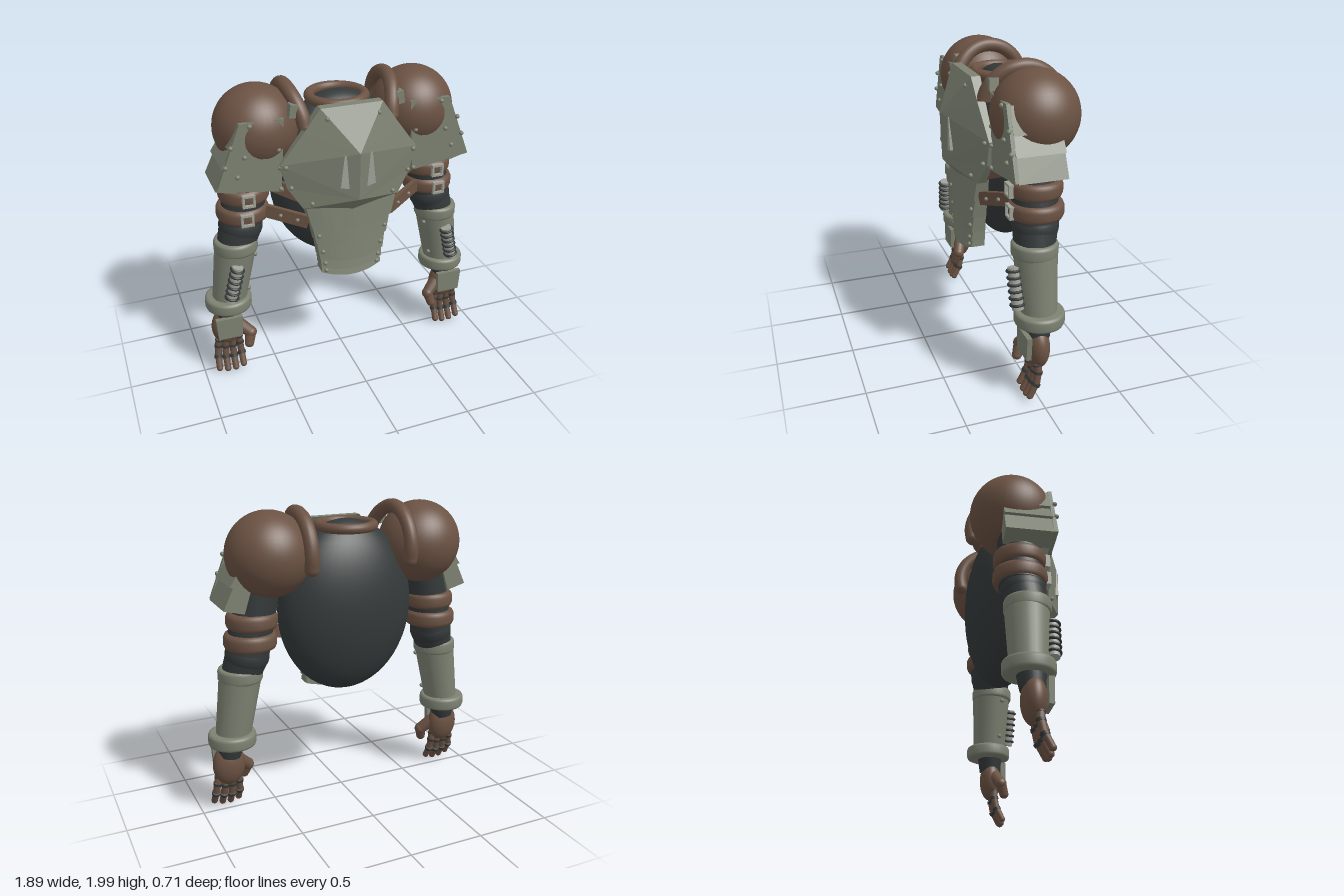
import * as THREE from 'three';

const mat = (color, extra = {}) => new THREE.MeshStandardMaterial({ color, ...extra });
const brown = mat(0x6b5243), metal = mat(0x7d8272), dark = mat(0x343939), steel = mat(0xa0a298);
const plate = mat(0x7d8272, { flatShading: true, side: THREE.DoubleSide });
const V = (p) => new THREE.Vector3(...p);

function add(parent, name, geo, material, pos = [0, 0, 0], rot = [0, 0, 0]) {
  const m = new THREE.Mesh(geo, material);
  m.name = name;
  m.position.set(...pos);
  m.rotation.set(...rot);
  parent.add(m);
  return m;
}

function ellipsoid(parent, name, material, pos, radii) {
  const m = add(parent, name, new THREE.SphereGeometry(1, 40, 28), material, pos);
  m.scale.set(...radii);
  return m;
}

// Tapered cylinder from point a to point b
function rod(parent, name, material, a, b, ra, rb = ra, sides = 28) {
  const d = V(b).sub(V(a));
  const m = add(parent, name, new THREE.CylinderGeometry(rb, ra, d.length(), sides), material);
  m.position.copy(V(a)).addScaledVector(d, 0.5);
  m.quaternion.setFromUnitVectors(new THREE.Vector3(0, 1, 0), d.normalize());
  return m;
}

// Ring with a rounded-rectangle section, filled inside
function cuff(parent, name, material, pos, r, h, e = 0.02) {
  const pts = [[0, -h / 2], [r - e, -h / 2], [r - e * 0.3, -h / 2 + e * 0.3], [r, -h / 2 + e],
    [r, h / 2 - e], [r - e * 0.3, h / 2 - e * 0.3], [r - e, h / 2], [0, h / 2]];
  return add(parent, name, new THREE.LatheGeometry(pts.map((p) => new THREE.Vector2(...p)), 40), material, pos);
}

function slab(parent, name, pts, z, depth, material = plate, hole) {
  const s = new THREE.Shape(pts.map((p) => new THREE.Vector2(...p)));
  if (hole) s.holes.push(new THREE.Path(hole.map((p) => new THREE.Vector2(...p))));
  return add(parent, name, new THREE.ExtrudeGeometry(s, { depth, bevelEnabled: false }), material, [0, 0, z]);
}

function rivets(parent, list, r = 0.015) {
  for (const p of list) add(parent, 'rivet', new THREE.SphereGeometry(r, 10, 8), metal, p);
}

const square = (x, y, r) => [[x - r, y - r], [x + r, y - r], [x + r, y + r], [x - r, y + r]];

// Faceted breastplate: half outline fanned to a central ridge, with a rim going back
function chestGeometry() {
  const edge = [[0.2, 1.88, 0.2], [0.3, 1.74, 0.19], [0.45, 1.54, 0.17], [0.41, 1.38, 0.17],
    [0.32, 1.24, 0.2], [0, 1.2, 0.235]];
  const top = [0, 1.62, 0.345], low = [0, 1.31, 0.335];
  const back = (p) => [p[0], p[1], 0.14];
  const half = [[top, edge[0], [0, 1.88, 0.2]], [top, low, edge[2]]];
  edge.slice(0, -1).forEach((p, i) => {
    const q = edge[i + 1];
    half.push([i < 2 ? top : low, q, p], [p, q, back(q)], [p, back(q), back(p)]);
  });
  half.push([edge[0], back(edge[0]), [0, 1.88, 0.14]], [edge[0], [0, 1.88, 0.14], [0, 1.88, 0.2]]);
  const out = [];
  for (const [a, b, c] of half) {
    out.push(...a, ...b, ...c);
    for (const p of [a, c, b]) out.push(-p[0], p[1], p[2]);
  }
  const g = new THREE.BufferGeometry();
  g.setAttribute('position', new THREE.Float32BufferAttribute(out, 3));
  g.computeVertexNormals();
  return g;
}

// Curved, tapering belly band
function bandGeometry(yTop, yBot, wTop, wBot, lip) {
  const g = new THREE.BoxGeometry(2, 1, 1, 12, 1, 1), p = g.attributes.position;
  for (let i = 0; i < p.count; i++) {
    const u = p.getX(i), up = p.getY(i) > 0, curve = 1 - u * u;
    p.setXYZ(i, u * (up ? wTop : wBot), (up ? yTop : yBot) - 0.035 * curve,
      p.getZ(i) > 0 ? 0.2 + 0.035 * curve + (up ? 0 : lip) : 0.12);
  }
  g.computeVertexNormals();
  return g;
}

function buildTorso(g) {
  ellipsoid(g, 'torso', dark, [0, 1.33, -0.06], [0.46, 0.565, 0.25]);
  add(g, 'neckRing', new THREE.TorusGeometry(0.175, 0.032, 16, 48), brown, [0, 1.855, -0.067], [Math.PI / 2, 0, 0]);
  add(g, 'chestPlate', chestGeometry(), plate);
  const ys = [1.27, 1.105, 0.98, 0.865, 0.8, 0.755], ws = [0.31, 0.265, 0.235, 0.213, 0.204, 0.2];
  for (let i = 0; i < 5; i++) {
    add(g, 'bellyBand', bandGeometry(ys[i], ys[i + 1], ws[i], ws[i + 1] + 0.006, 0.012), plate);
    const y = (ys[i] + ys[i + 1]) / 2 - 0.01, w = (ws[i] + ws[i + 1]) / 2 - 0.025;
    if (i) rivets(g, [[w, y, 0.215], [-w, y, 0.215]]);
  }
}

function buildShoulder(s) {
  ellipsoid(s, 'shoulderPad', brown, [0.525, 1.715, -0.085], [0.267, 0.267, 0.267]);
  // Strap arching over the shoulder from front to back
  const path = [];
  for (let i = 0; i <= 12; i++) {
    const a = THREE.MathUtils.degToRad(10 + i * 15.5), c = Math.cos(a);
    path.push(new THREE.Vector3(0.335 - 0.055 * Math.max(0, c) ** 2, 1.715 + 0.24 * Math.sin(a), -0.085 + 0.235 * c));
  }
  rod(s, 'strapEnd', brown, [0.281, 1.75, 0.146], [0.279, 1.765, 0.146], 0.044);
  add(s, 'shoulderStrap', new THREE.TubeGeometry(new THREE.CatmullRomCurve3(path), 40, 0.045, 16), brown);
  add(s, 'strapBackEnd', new THREE.SphereGeometry(0.045, 16, 12), brown, path[12].toArray());
  add(s, 'strapBracket', new THREE.BoxGeometry(0.05, 0.08, 0.06), metal, [0.345, 1.86, 0.11], [0, 0, 0.15]);

  // Shoulder guard: front panel and stepped side slats
  slab(s, 'guardFront', [[0.41, 1.83], [0.44, 1.36], [0.84, 1.42], [0.68, 1.83]], 0.125, 0.025);
  const cuts = [[0.68, 1.82], [0.73, 1.66], [0.78, 1.55], [0.825, 1.41]];
  for (let i = 0; i < 3; i++) {
    const [x, y] = cuts[i], [X, Y] = cuts[i + 1];
    slab(s, 'guardSlat', [[x - 0.11, y - 0.03], [X - 0.11, Y - 0.03], [X + 0.02, Y + 0.004], [x, y]], -0.17, 0.3);
  }
  rivets(s, [[0.62, 1.81], [0.74, 1.69], [0.66, 1.62], [0.78, 1.57], [0.71, 1.5], [0.45, 1.64], [0.445, 1.52],
    [0.445, 1.38]].map(([x, y]) => [x, y, 0.155]));

  // Chest details on this side
  slab(s, 'chestVent', [[0.045, 1.6], [0.04, 1.38], [0.115, 1.4], [0.09, 1.61]], 0.27, 0.045, steel);
  rivets(s, [[0.165, 1.82, 0.225], [0.42, 1.53, 0.19], [0.39, 1.39, 0.19], [0.27, 1.28, 0.23]]);
  for (const [x, y] of [[0.385, 1.335], [0.4, 1.16]]) {
    const belt = add(s, 'sideBelt', new THREE.BoxGeometry(0.28, 0.085, 0.03), brown, [x, y, 0.11]);
    belt.rotation.set(0, 0.45, y > 1.2 ? 0.38 : 0.25, 'YZX');
    rivets(belt, [[-0.07, 0, 0.018], [0.04, 0, 0.018]], 0.013);
  }
}

function buildArm(s) {
  rod(s, 'upperArm', dark, [0.56, 1.65, -0.05], [0.67, 1.1, -0.045], 0.135, 0.14);
  ellipsoid(s, 'elbow', dark, [0.67, 1.08, -0.04], [0.142, 0.13, 0.142]);
  rod(s, 'elbowSleeve', dark, [0.67, 1.08, -0.04], [0.71, 0.96, -0.025], 0.138, 0.125);
  for (const [x, y, r] of [[0.635, 1.31, 0.163], [0.65, 1.18, 0.168]]) {
    cuff(s, 'armBand', brown, [x, y, -0.052], r, 0.105, 0.03);
    const bx = x + 0.008;
    slab(s, 'buckle', square(bx, y, 0.041), 0.1, 0.03, steel, square(bx, y, 0.027));
  }

  // Forearm armour
  cuff(s, 'upperCuff', metal, [0.715, 0.955, -0.022], 0.143, 0.09);
  rod(s, 'forearm', metal, [0.785, 0.53, -0.03], [0.715, 0.955, -0.025], 0.112, 0.136);
  cuff(s, 'lowerCuff', metal, [0.79, 0.53, -0.032], 0.155, 0.088);
  rivets(s, [[0.605, 0.885, 0.04], [0.66, 0.63, 0.03]]);

  // Sprung piston on the forearm
  const a = [0.8, 0.605, 0.11], b = [0.74, 0.86, 0.12];
  const piston = rod(s, 'piston', steel, a, b, 0.036, 0.036, 20);
  for (let i = 0; i < 6; i++) {
    add(piston, 'pistonRing', new THREE.TorusGeometry(0.04, 0.009, 8, 24), dark, [0, -0.1 + i * 0.042, 0], [Math.PI / 2, 0, 0]);
  }
}

function buildHand(s) {
  rod(s, 'wrist', dark, [0.81, 0.4, -0.015], [0.795, 0.52, -0.02], 0.075, 0.09);
  ellipsoid(s, 'palm', brown, [0.815, 0.335, -0.012], [0.108, 0.142, 0.074]);
  slab(s, 'handPlate', [[0.735, 0.295], [0.895, 0.295], [0.905, 0.45], [0.725, 0.45]], 0.055, 0.032, metal);

  const digit = (name, pts, r) => {
    for (let i = 0; i < pts.length - 1; i++) {
      rod(s, name, brown, pts[i], pts[i + 1], r * (1 - i * 0.06), r * (0.94 - i * 0.06), 16);
      const joint = rod(s, name + 'Joint', dark, pts[i], V(pts[i]).lerp(V(pts[i + 1]), 0.22).toArray(), r * 1.1, r * 1.1, 16);
      joint.visible = name === 'finger' || i === 0;
    }
    add(s, name + 'Tip', new THREE.SphereGeometry(r * 0.84, 16, 12), brown, pts[pts.length - 1]);
  };
  for (let i = 0; i < 4; i++) {
    const x = 0.75 + i * 0.044, out = (i - 1) * 0.012, drop = [0.015, 0, 0.003, 0.02][i];
    digit('finger', [[x, 0.25, 0.01], [x + out * 0.4, 0.185 + drop, 0.008], [x + out * 0.8, 0.11 + drop, 0.022],
      [x + out, 0.028 + drop, 0.065]], 0.026);
  }
  // Thumb
  rod(s, 'thumbBase', brown, [0.745, 0.35, 0.01], [0.67, 0.28, 0.045], 0.045, 0.04, 16);
  ellipsoid(s, 'thumbKnuckle', brown, [0.67, 0.28, 0.045], [0.041, 0.041, 0.041]);
  rod(s, 'thumb', brown, [0.67, 0.28, 0.045], [0.69, 0.21, 0.07], 0.038, 0.032, 16);
  ellipsoid(s, 'thumbTip', brown, [0.69, 0.21, 0.07], [0.032, 0.032, 0.032]);
}

export function createModel() {
  const model = new THREE.Group();
  model.name = 'armouredUpperBody';
  buildTorso(model);
  for (const side of [1, -1]) {
    const s = new THREE.Group();
    s.name = side > 0 ? 'leftSide' : 'rightSide';
    s.scale.x = side;
    buildShoulder(s);
    buildArm(s);
    buildHand(s);
    model.add(s);
  }
  return model;
}
